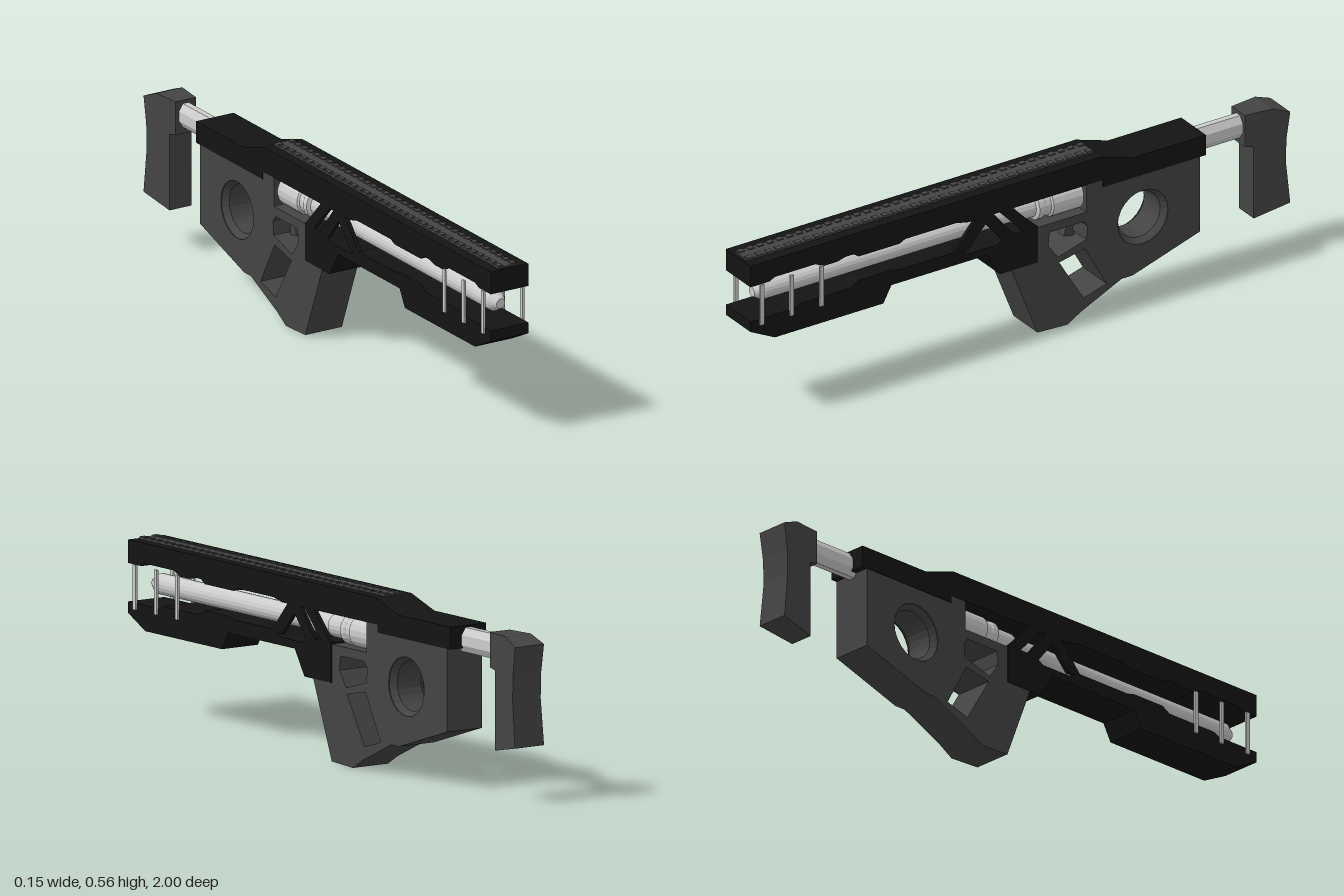
import * as THREE from 'three';

const mat = (color) => new THREE.MeshStandardMaterial({ color, flatShading: true });
const black = mat(0x141414), dark = mat(0x444444), steel = mat(0xcccccc);

const toPoints = (pts) => pts.map(([z, y]) => new THREE.Vector2(z, y));

// Side profile given as [z, y] pairs, extruded across x and centred on it
function sideProfile(pts, width, holes = []) {
  const shape = new THREE.Shape(toPoints(pts));
  for (const h of holes) shape.holes.push(new THREE.Path(toPoints(h)));
  const geo = new THREE.ExtrudeGeometry(shape, { depth: width, bevelEnabled: false });
  return geo.translate(0, 0, -width / 2).rotateY(-Math.PI / 2);
}

// Lathe profile given as [z, radius] from back to front, turned along z
function turned(pts, sides) {
  return new THREE.LatheGeometry(pts.map(([z, r]) => new THREE.Vector2(r, z)), sides).rotateX(Math.PI / 2);
}

export function createModel() {
  const model = new THREE.Group();
  const add = (name, geo, material, x = 0, y = 0, z = 0) => {
    const mesh = new THREE.Mesh(geo, material);
    mesh.name = name;
    mesh.position.set(x, y, z);
    model.add(mesh);
    return mesh;
  };

  // Long upper shroud with shallow steps along its underside
  add('upperShroud', sideProfile([
    [1, 0.548], [1, 0.475], [0.93, 0.475], [0.91, 0.485], [0.76, 0.485], [0.73, 0.47],
    [0.68, 0.47], [0.65, 0.478], [0.62, 0.478], [0.6, 0.465], [0.45, 0.465], [0.43, 0.475],
    [0.24, 0.475], [0.2, 0.465], [-0.3, 0.465], [-0.3, 0.44], [-0.68, 0.44],
    [-0.68, 0.51], [-0.41, 0.51], [-0.29, 0.548],
  ], 0.137), black);

  // Lower handguard
  add('lowerGuard', sideProfile([
    [1, 0.355], [1, 0.32], [0.91, 0.275], [0.51, 0.275], [0.48, 0.33], [0.13, 0.33],
    [0.08, 0.25], [-0.06, 0.25], [-0.06, 0.375], [0.06, 0.375], [0.09, 0.355], [0.2, 0.355],
    [0.24, 0.375], [0.45, 0.375], [0.48, 0.382], [0.6, 0.382], [0.63, 0.365], [0.82, 0.365],
    [0.84, 0.355],
  ], 0.137), black);

  // Diagonal side braces, front pins
  const braces = [
    [[0.25, 0.372], [0.2, 0.365], [0.1, 0.475], [0.16, 0.475]],
    [[0.16, 0.475], [0.11, 0.475], [0.02, 0.365], [0.07, 0.365]],
    [[0.09, 0.475], [0.04, 0.475], [-0.06, 0.37], [-0.02, 0.36]],
  ];
  for (const side of [-1, 1]) {
    for (const b of braces) add('sideBrace', sideProfile(b, 0.013), black, side * 0.062);
    for (const z of [0.96, 0.85, 0.74]) {
      add('frontPin', new THREE.BoxGeometry(0.007, 0.14, 0.014), steel, side * 0.071, 0.405, z);
    }
  }

  // Top rail: base strip with a row of teeth down each edge
  add('railBase', new THREE.BoxGeometry(0.066, 0.006, 1.28), dark, 0, 0.55, 0.35);
  for (let i = 0; i < 36; i++) {
    for (const side of [-1, 1]) {
      add('railTooth', new THREE.BoxGeometry(0.018, 0.009, 0.021), dark, side * 0.024, 0.552, -0.277 + i * 0.0358);
    }
  }

  // Barrel with a tapered tip and a wider stepped chamber at the back
  add('barrel', turned([
    [-0.25, 0], [-0.25, 0.053], [-0.13, 0.053], [-0.125, 0.047], [-0.105, 0.047], [-0.1, 0.05],
    [-0.08, 0.05], [-0.075, 0.038], [0, 0.038], [0.005, 0.033], [0.92, 0.033], [0.95, 0.016], [0.95, 0],
  ], 18), steel, 0, 0.415, 0);

  // Grip and rear body with trigger, grip and round openings
  const ring = [];
  for (let i = 0; i < 24; i++) {
    const a = (i / 24) * Math.PI * 2;
    ring.push([-0.449 + 0.093 * Math.cos(a), 0.292 + 0.093 * Math.sin(a)]);
  }
  add('gripBody', sideProfile([
    [0.04, 0.26], [-0.06, 0.005], [-0.17, 0], [-0.22, 0.03], [-0.37, 0.1], [-0.41, 0.1],
    [-0.66, 0.18], [-0.66, 0.46], [-0.24, 0.47], [-0.24, 0.37], [-0.06, 0.37], [-0.06, 0.26],
  ], 0.133, [
    [[-0.105, 0.34], [-0.23, 0.34], [-0.245, 0.32], [-0.24, 0.275], [-0.135, 0.245], [-0.1, 0.295]],
    [[-0.14, 0.225], [-0.235, 0.245], [-0.315, 0.1], [-0.23, 0.075]],
    ring,
  ]), dark);

  // Chamfered rim inside the round opening
  const rim = new THREE.LatheGeometry([
    [0.095, -0.066], [0.095, 0.066], [0.078, 0.045], [0.078, -0.045], [0.095, -0.066],
  ].map(([r, x]) => new THREE.Vector2(r, x)), 24).rotateZ(-Math.PI / 2);
  const rimMat = mat(0x444444);
  rimMat.side = THREE.DoubleSide;
  add('openingRim', rim, rimMat, 0, 0.292, -0.449);

  add('trigger', sideProfile([
    [-0.19, 0.35], [-0.235, 0.35], [-0.225, 0.3], [-0.23, 0.272], [-0.19, 0.278], [-0.2, 0.305],
  ], 0.03), dark);

  // Eight-sided stock tube running into the body
  const tube = new THREE.CylinderGeometry(0.027, 0.027, 0.36, 8).rotateX(Math.PI / 2).rotateZ(Math.PI / 8);
  tube.scale(1, 1.55, 1);
  add('stockTube', tube, steel, 0, 0.465, -0.7);

  // Shoulder stock, widening toward the back
  const butt = sideProfile([
    [-0.845, 0.515], [-0.94, 0.515], [-1, 0.49], [-0.987, 0.4], [-0.985, 0.32], [-1, 0.175],
    [-0.875, 0.15], [-0.875, 0.4], [-0.845, 0.405],
  ], 2);
  const p = butt.attributes.position;
  for (let i = 0; i < p.count; i++) {
    const t = (-0.845 - p.getZ(i)) / 0.155;
    p.setX(i, p.getX(i) * (0.037 + 0.018 * t));
  }
  butt.computeVertexNormals();
  add('shoulderStock', butt, dark);

  return model;
}
